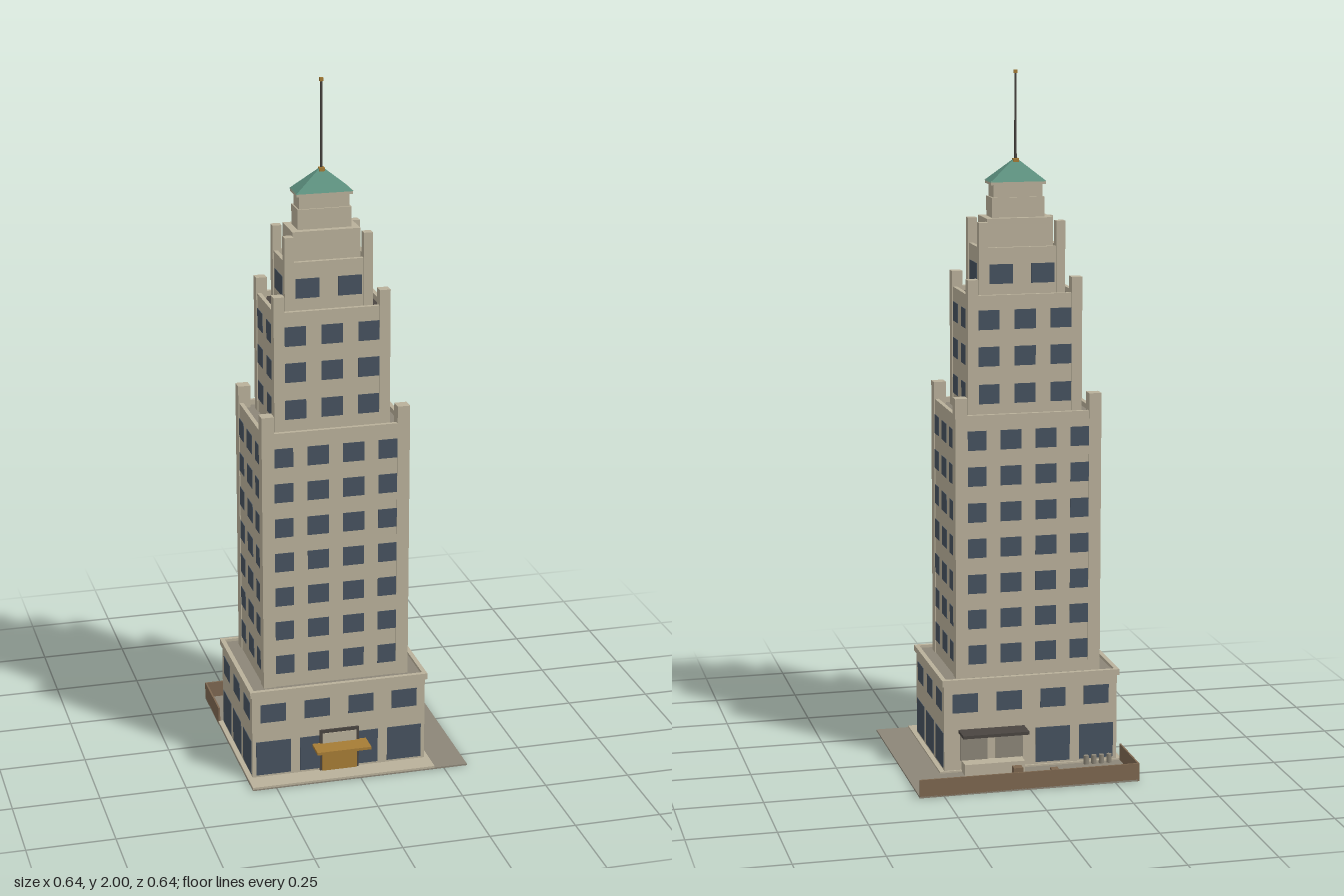
import * as THREE from 'three';

const mat = (name, color) => {
  const m = new THREE.MeshStandardMaterial({ color });
  m.name = name;
  return m;
};

export function createModel() {
  const stone = mat('limestone', 0xb9b09a);
  const paving = mat('paving grey', 0x8c8678);
  const dark = mat('dark metal', 0x4a4541);
  const glass = mat('slate glass', 0x46525f);
  const copper = mat('green copper', 0x5f9482);
  const gold = mat('brass', 0xa67c35);
  const brown = mat('brick brown', 0x7d6750);

  const model = new THREE.Group();
  model.name = 'tower';
  const tower = new THREE.Group();
  tower.name = 'building';
  tower.position.set(-0.049, 0, 0.064);
  model.add(tower);

  const add = (parent, name, geo, material, x = 0, y = 0, z = 0) => {
    const mesh = new THREE.Mesh(geo, material);
    mesh.name = name;
    mesh.position.set(x, y, z);
    parent.add(mesh);
    return mesh;
  };
  // Box given by its x, y and z ranges
  const box = (parent, name, m, x0, x1, y0, y1, z0, z1) =>
    add(parent, name, new THREE.BoxGeometry(x1 - x0, y1 - y0, z1 - z0), m,
      (x0 + x1) / 2, (y0 + y1) / 2, (z0 + z1) / 2);
  // Box centred on the tower axis
  const block = (name, m, hx, hz, y0, y1) => box(tower, name, m, -hx, hx, y0, y1, -hz, hz);
  // Rectangular parapet ring
  const ring = (name, hx, hz, t, y0, y1) => {
    const rect = (P, a, b) => new P([[-a, -b], [a, -b], [a, b], [-a, b]].map(p => new THREE.Vector2(...p)));
    const shape = rect(THREE.Shape, hx, hz);
    shape.holes.push(rect(THREE.Path, hx - t, hz - t));
    const geo = new THREE.ExtrudeGeometry(shape, { depth: y1 - y0, bevelEnabled: false });
    geo.rotateX(-Math.PI / 2);
    add(tower, name, geo, stone, 0, y0, 0);
  };
  // One row of thin panes on a face: side 0 front, 1 right (+x), 2 back, 3 other end
  const panes = (side, xs, w, y, h, dist) => {
    const face = new THREE.Group();
    face.name = 'windowRow';
    face.rotation.y = side * Math.PI / 2;
    tower.add(face);
    for (const x of xs) add(face, 'window', new THREE.BoxGeometry(w, h, 0.004), glass, x, y, dist - 0.0005);
  };
  const columns = (n, pitch) => Array.from({ length: n }, (_, i) => (i - (n - 1) / 2) * pitch);

  // Ground, pavement and yard wall
  box(model, 'ground', paving, -0.32, 0.32, 0, 0.005, -0.32, 0.32);
  box(model, 'pavement', stone, -0.32, 0.222, 0.004, 0.01, -0.135, 0.32);
  box(model, 'yardBackWall', brown, -0.32, 0.32, 0, 0.053, -0.32, -0.315);
  box(model, 'yardSideWall', brown, -0.32, -0.315, 0, 0.053, -0.32, -0.131);

  // Base storeys
  block('baseWalls', stone, 0.257, 0.193, 0.005, 0.265);
  block('baseCornice', stone, 0.263, 0.199, 0.262, 0.27);
  ring('baseParapet', 0.263, 0.199, 0.013, 0.27, 0.28);
  block('baseRoof', paving, 0.25, 0.186, 0.268, 0.272);
  for (let side = 0; side < 4; side++) {
    const end = side % 2 === 1;
    const xs = columns(end ? 3 : 4, 0.13);
    const dist = end ? 0.257 : 0.193;
    panes(side, xs, 0.075, 0.208, 0.056, dist);
    // The loading dock replaces two of the rear shop windows
    panes(side, side === 2 ? xs.slice(2) : xs, 0.102, 0.068, 0.104, dist);
  }

  // Stepped tiers with corner piers, parapets and windows
  const tiers = [
    { name: 'shaft', hx: 0.214, hz: 0.161, y0: 0.27, y1: 1.04, pier: 0.036, pierTop: 1.09, roof: paving,
      rows: [0.34, 0.445, 0.549, 0.654, 0.758, 0.863, 0.967], front: [4, 0.103, 0.062], end: [3, 0.103, 0.062] },
    { name: 'middleTier', hx: 0.167, hz: 0.119, y0: 1.01, y1: 1.375, pier: 0.031, pierTop: 1.42, roof: dark,
      rows: [1.092, 1.2, 1.305], front: [3, 0.106, 0.062], end: [2, 0.108, 0.06] },
    { name: 'upperTier', hx: 0.126, hz: 0.082, y0: 1.35, y1: 1.505, pier: 0.026, pierTop: 1.577, roof: paving,
      rows: [1.43], front: [2, 0.122, 0.068], end: [1, 0, 0.088] },
  ];
  for (const t of tiers) {
    const wx = t.hx - 0.003, wz = t.hz - 0.003;
    block(t.name + 'Walls', stone, wx, wz, t.y0, t.y1 - 0.018);
    block(t.name + 'Roof', t.roof, wx - 0.01, wz - 0.01, t.y1 - 0.02, t.y1 - 0.015);
    ring(t.name + 'Parapet', wx, wz, 0.012, t.y1 - 0.018, t.y1);
    for (const sx of [-1, 1]) for (const sz of [-1, 1]) {
      add(tower, t.name + 'CornerPier', new THREE.BoxGeometry(t.pier, t.pierTop - t.y0, t.pier), stone,
        sx * (t.hx - t.pier / 2), (t.y0 + t.pierTop) / 2, sz * (t.hz - t.pier / 2));
    }
    for (let side = 0; side < 4; side++) {
      const [n, pitch, w] = side % 2 ? t.end : t.front;
      for (const y of t.rows) panes(side, columns(n, pitch), w, y, 0.056, side % 2 ? wx : wz);
    }
  }

  // Crown, copper roof and mast
  block('crownBase', stone, 0.097, 0.056, 1.48, 1.585);
  block('crown', stone, 0.077, 0.036, 1.58, 1.642);
  block('crownNeck', stone, 0.072, 0.031, 1.64, 1.68);
  block('crownCornice', stone, 0.08, 0.038, 1.678, 1.688);
  let roof = new THREE.CylinderGeometry(0.1 * Math.SQRT2, Math.SQRT2, 0.06, 4);
  roof.rotateY(Math.PI / 4);
  roof.scale(0.082, 1, 0.04);
  roof = roof.toNonIndexed();
  roof.computeVertexNormals();
  add(tower, 'copperRoof', roof, copper, 0, 1.716, 0);
  block('mastBase', gold, 0.008, 0.008, 1.738, 1.75);
  add(tower, 'mast', new THREE.CylinderGeometry(0.003, 0.004, 0.25, 6), dark, 0, 1.87, 0);
  block('mastFinial', gold, 0.005, 0.005, 1.99, 2);

  // Front entrance
  box(tower, 'entranceFrame', dark, -0.058, 0.058, 0.01, 0.137, 0.19, 0.198);
  box(tower, 'entranceTransom', stone, -0.05, 0.05, 0.095, 0.127, 0.197, 0.2);
  box(tower, 'entranceDoor', gold, -0.052, 0.052, 0.01, 0.09, 0.197, 0.202);
  box(tower, 'entranceCanopy', gold, -0.08, 0.08, 0.088, 0.096, 0.193, 0.256);

  // Rear loading dock
  box(model, 'dockPlatform', stone, -0.02, 0.157, 0.005, 0.038, -0.175, -0.12);
  box(model, 'dockCanopy', dark, -0.029, 0.166, 0.121, 0.13, -0.193, -0.12);
  for (const x of [0.016, 0.121]) box(model, 'dockDoor', paving, x - 0.04, x + 0.04, 0.038, 0.112, -0.133, -0.128);

  // Crates, barrels and bollards in the yard
  box(model, 'largeCrate', brown, -0.093, -0.059, 0.005, 0.032, -0.31, -0.278);
  box(model, 'stackedCrate', brown, -0.087, -0.066, 0.032, 0.05, -0.305, -0.284);
  box(model, 'smallCrate', brown, -0.052, -0.025, 0.005, 0.03, -0.31, -0.283);
  box(model, 'dockCrate', brown, -0.004, 0.023, 0.005, 0.032, -0.218, -0.191);
  const post = (name, m, x, z, r, h) => add(model, name, new THREE.CylinderGeometry(r, r, h, 6), m, x, 0.005 + h / 2, z);
  post('barrel', brown, -0.004, -0.298, 0.009, 0.028);
  post('barrel', glass, 0.003, -0.273, 0.009, 0.028);
  for (let i = 0; i < 4; i++) post('bin', paving, -0.279 + i * 0.023, -0.148, 0.008, 0.026);

  return model;
}
